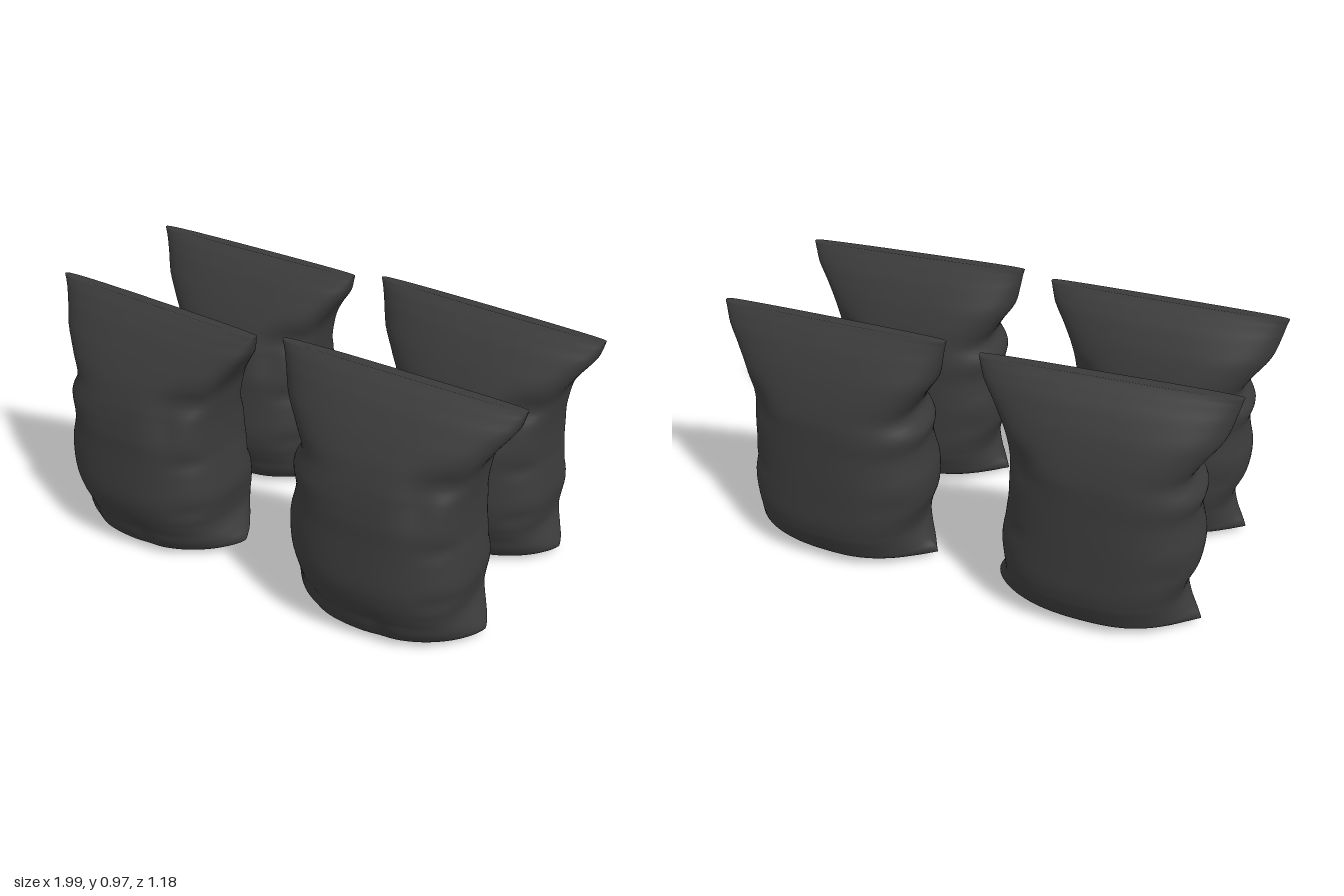
import * as THREE from 'three';

// Cross-sections from base to seal: height, left edge, right edge, front depth, back depth, taper
// (taper 0.2 = boxy section with gusseted ends, 1 = pointed lens section)
const SECTIONS = [
  [0.002, -0.31, 0.31, 0.12, 0.09, 0.8],
  [0.02, -0.395, 0.385, 0.225, 0.15, 0.9],
  [0.045, -0.39, 0.385, 0.25, 0.195, 0.75],
  [0.08, -0.36, 0.365, 0.265, 0.213, 0.55],
  [0.14, -0.33, 0.335, 0.282, 0.235, 0.38],
  [0.20, -0.34, 0.338, 0.30, 0.243, 0.37],
  [0.28, -0.37, 0.35, 0.308, 0.24, 0.4],
  [0.38, -0.378, 0.338, 0.298, 0.235, 0.41],
  [0.45, -0.362, 0.328, 0.29, 0.23, 0.4],
  [0.51, -0.354, 0.325, 0.285, 0.225, 0.39],
  [0.58, -0.366, 0.325, 0.272, 0.22, 0.38],
  [0.65, -0.325, 0.33, 0.25, 0.21, 0.3],
  [0.72, -0.36, 0.343, 0.22, 0.187, 0.3],
  [0.80, -0.415, 0.388, 0.17, 0.15, 0.34],
  [0.88, -0.44, 0.442, 0.108, 0.098, 0.38],
  [0.93, -0.452, 0.459, 0.056, 0.052, 0.36],
  [0.957, -0.46, 0.466, 0.018, 0.022, 0.25],
];

// Soft creases: x, y, side (+1 front, -1 back), x radius, y radius, depth
const CREASES = [
  [0.30, 0.67, 1, 0.11, 0.06, 0.055],
  [0.20, 0.60, 1, 0.05, 0.08, 0.02],
  [0.31, 0.44, 1, 0.07, 0.03, 0.02],
  [0.32, 0.24, 1, 0.07, 0.03, 0.02],
  [-0.33, 0.48, 1, 0.06, 0.05, 0.01],
  [-0.20, 0.10, 1, 0.04, 0.07, 0.012],
  [0.08, 0.08, 1, 0.04, 0.06, 0.012],
  [0.30, 0.64, -1, 0.09, 0.06, 0.045],
  [0.31, 0.36, -1, 0.07, 0.03, 0.015],
  [-0.31, 0.30, -1, 0.07, 0.04, 0.012],
];

function bagGeometry() {
  const outline = new THREE.CatmullRomCurve3(SECTIONS.map(s => new THREE.Vector3(s[1], s[0], s[2])));
  const depth = new THREE.CatmullRomCurve3(SECTIONS.map(s => new THREE.Vector3(s[3], s[4], s[5])));
  const rows = (SECTIONS.length - 1) * 4, sides = 120;
  const positions = [], index = [];

  for (let i = 0; i <= rows; i++) {
    const o = outline.getPoint(i / rows), d = depth.getPoint(i / rows);
    for (let j = 0; j < sides; j++) {
      const t = (j / sides) * Math.PI * 2;
      const u = Math.cos(t), side = Math.sin(t) >= 0 ? 1 : -1;
      const x = (o.x + o.z) / 2 + u * (o.z - o.x) / 2;
      // the +x end is squarer than the -x end
      const taper = d.z * (1 - 0.2 * u);
      const fullness = Math.pow(Math.max(0, 1 - Math.pow(Math.abs(u), 2.5)), taper);
      let z = (side > 0 ? d.x : d.y) * fullness;
      // press the creases into the skin
      for (const [cx, cy, cs, rx, ry, amount] of CREASES) {
        if (cs !== side) continue;
        z -= amount * fullness * Math.exp(-(((x - cx) / rx) ** 2) - ((o.y - cy) / ry) ** 2);
      }
      // the seal slopes down to one side, the base corners lift slightly
      const y = o.y - 0.014 * (x / 0.46) * o.y ** 3 + (i < 6 ? 0.012 * u * u * (1 - i / 6) : 0);
      positions.push(x, y, side * Math.max(z, 0));
    }
  }

  // skin
  for (let i = 0; i < rows; i++) {
    for (let j = 0; j < sides; j++) {
      const k = (j + 1) % sides;
      const a = i * sides + j, b = i * sides + k, c = a + sides, e = b + sides;
      index.push(a, c, b, b, c, e);
    }
  }
  // base and seal caps
  const base = positions.length / 3, seal = base + 1, last = rows * sides;
  positions.push(0, 0, 0, 0, 0.95, 0);
  for (let j = 0; j < sides; j++) {
    const k = (j + 1) % sides;
    index.push(base, j, k, seal, last + k, last + j);
  }

  const geometry = new THREE.BufferGeometry();
  geometry.setAttribute('position', new THREE.Float32BufferAttribute(positions, 3));
  geometry.setIndex(index);
  geometry.computeVertexNormals();
  return geometry;
}

export function createModel() {
  const group = new THREE.Group();
  group.name = 'bags';
  const geometry = bagGeometry();
  const material = new THREE.MeshStandardMaterial({ color: 0x3a3a3a, side: THREE.DoubleSide });

  // name, x, z, turn
  const places = [
    ['frontRightBag', -0.538, 0.28, -0.03],
    ['frontLeftBag', 0.50, 0.28, 0.02],
    ['backRightBag', -0.518, -0.348, 0.02],
    ['backLeftBag', 0.53, -0.348, -0.03],
  ];
  for (const [name, x, z, turn] of places) {
    const bag = new THREE.Mesh(geometry, material);
    bag.name = name;
    bag.position.set(x, 0, z);
    bag.rotation.y = turn;
    group.add(bag);
  }
  return group;
}
